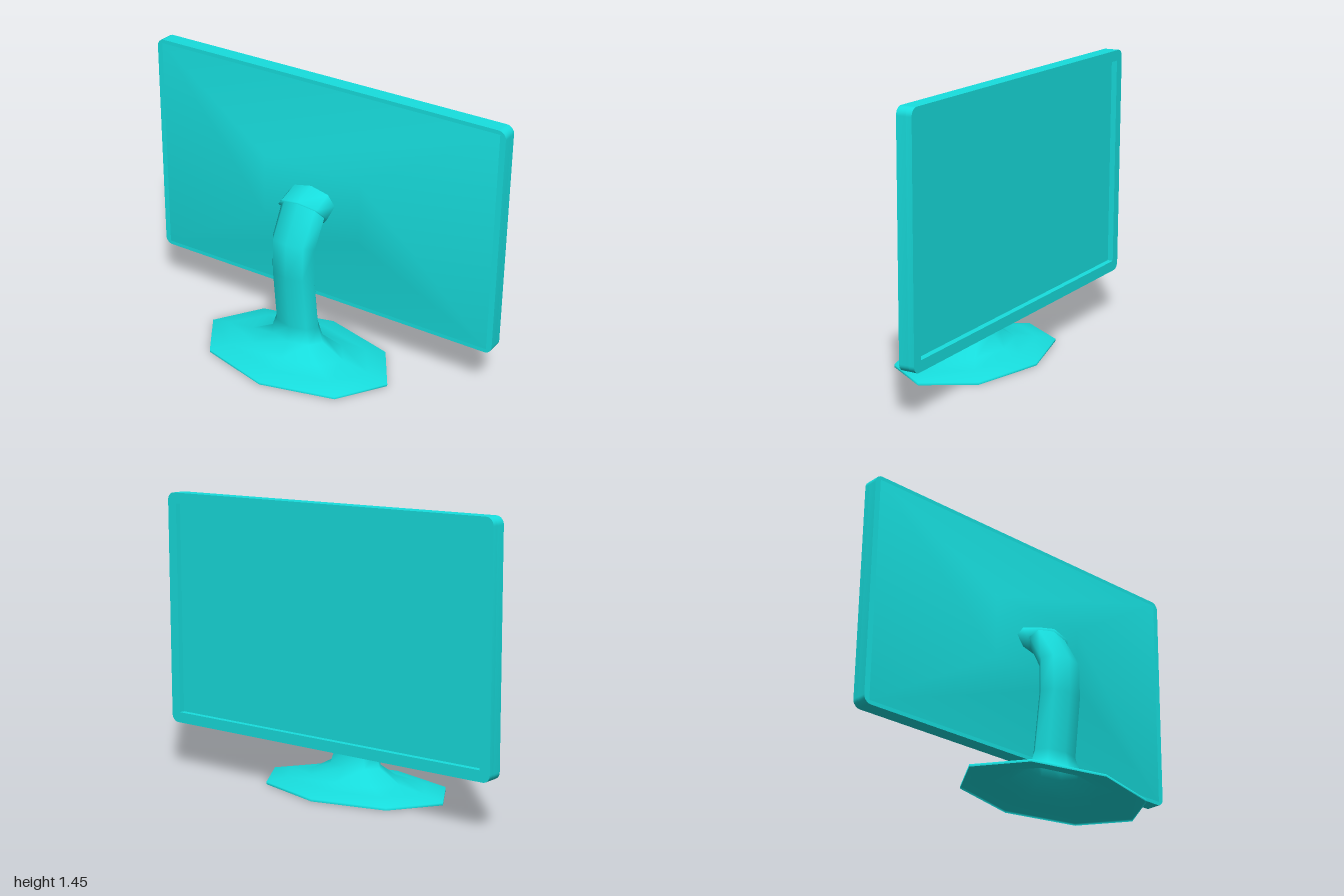
import * as THREE from 'three';
import { toCreasedNormals } from 'three/addons/utils/BufferGeometryUtils.js';

const material = new THREE.MeshStandardMaterial({ color: 0x17dede, side: THREE.DoubleSide });

// Skin a list of closed rings, each with the same number of points
function loft(rings) {
  const n = rings[0].length, index = [];
  for (let r = 0; r < rings.length - 1; r++) {
    for (let i = 0; i < n; i++) {
      const a = r * n + i, b = r * n + (i + 1) % n;
      index.push(a, a + n, b, b, a + n, b + n);
    }
  }
  const geo = new THREE.BufferGeometry();
  geo.setAttribute('position', new THREE.Float32BufferAttribute(rings.flat(2), 3));
  geo.setIndex(index);
  geo.computeVertexNormals();
  return geo;
}

// Eight-sided ring from its front point (z, y), back point (z, y) and half width
function octagon([zf, yf, zb, yb, w]) {
  return Array.from({ length: 8 }, (_, i) => {
    const a = i * Math.PI / 4, s = Math.sin(a) / 2;
    return [w * Math.cos(a), (yf + yb) / 2 + s * (yf - yb), (zf + zb) / 2 + s * (zf - zb)];
  });
}

// Rectangular ring facing +z
function rectangle(hw, y0, y1, z) {
  return [[hw, y1, z], [hw, y0, z], [-hw, y0, z], [-hw, y1, z]];
}

function roundedRect(hw, hh, r) {
  const s = new THREE.Shape();
  s.absarc(hw - r, hh - r, r, 0, Math.PI / 2);
  s.absarc(-hw + r, hh - r, r, Math.PI / 2, Math.PI);
  s.absarc(-hw + r, -hh + r, r, Math.PI, Math.PI * 1.5);
  s.absarc(hw - r, -hh + r, r, Math.PI * 1.5, Math.PI * 2);
  s.closePath();
  return s;
}

export function createModel() {
  const model = new THREE.Group();
  const add = (name, geo) => {
    const mesh = new THREE.Mesh(geo, material);
    mesh.name = name;
    model.add(mesh);
    return mesh;
  };

  // Hollow foot flaring up into a bent column
  add('stand', loft([
    [0.345, 0, -0.345, 0, 0.54],
    [0.345, 0.012, -0.345, 0.012, 0.54],
    [0.245, 0.035, -0.245, 0.035, 0.43],
    [0.16, 0.055, -0.16, 0.055, 0.28],
    [0.092, 0.12, -0.092, 0.12, 0.155],
    [0.075, 0.2, -0.073, 0.2, 0.127],
    [0.11, 0.5, -0.035, 0.5, 0.125],
    [0.105, 0.69, -0.035, 0.65, 0.125],
    [-0.005, 0.868, -0.085, 0.752, 0.128],
  ].map(octagon)));

  // Slightly wider collar joining the column to the housing
  add('neck', loft([
    [-0.045, 0.81, -0.045, 0.81, 0],
    [0, 0.88, -0.09, 0.74, 0.145],
    [-0.12, 0.92, -0.12, 0.77, 0.14],
    [-0.18, 0.94, -0.18, 0.79, 0.14],
  ].map(octagon)));

  // Tapered rear housing with a flat mounting area
  add('rearHousing', loft([
    rectangle(0.97, 0.265, 1.425, -0.205),
    rectangle(0.28, 0.68, 1.01, -0.12),
    rectangle(0, 0.845, 0.845, -0.12),
  ]));

  // Display slab and raised bezel around the recessed screen, facing -z
  const slab = (name, shape, depth, z) => {
    const geo = new THREE.ExtrudeGeometry(shape, { depth, bevelEnabled: false, curveSegments: 4 });
    add(name, toCreasedNormals(geo, 0.6)).position.set(0, 0.845, z);
  };
  slab('screenPanel', roundedRect(1, 0.6, 0.04), 0.05, -0.255);
  const bezel = roundedRect(1, 0.6, 0.04);
  const w = 0.945, h = 0.545;
  bezel.holes.push(new THREE.Path([[-w, -h], [-w, h], [w, h], [w, -h]].map(p => new THREE.Vector2(...p))));
  slab('bezel', bezel, 0.03, -0.285);

  return model;
}
